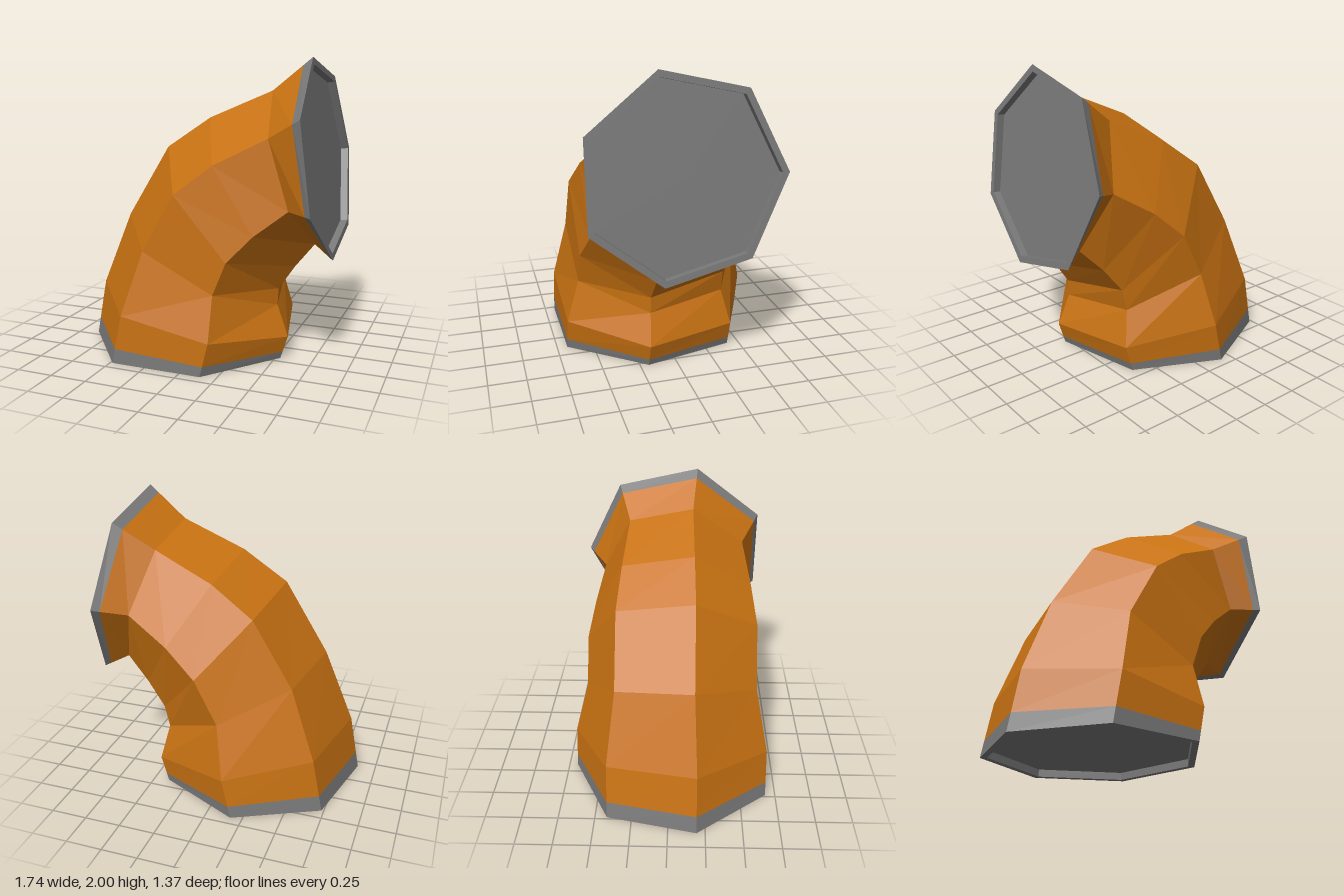
import * as THREE from 'three';

const SIDES = 7;
const Z0 = 0.031;

// Seven-sided ring: centre in the bend plane, radius and tilt in degrees.
function ring(cx, cy, r, tilt) {
  const t = THREE.MathUtils.degToRad(tilt);
  return Array.from({ length: SIDES }, (_, i) => {
    const a = (i / SIDES) * Math.PI * 2;
    const u = r * Math.sin(a);
    return new THREE.Vector3(cx + u * Math.cos(t), cy - u * Math.sin(t), Z0 - r * Math.cos(a));
  });
}

const mix = (a, b, t) => a.map((p, i) => p.clone().lerp(b[i], t));

// Faceted skin through successive rings, dropping collapsed triangles.
function loft(name, rings, color) {
  const pos = [];
  const tri = (a, b, c) => {
    if (new THREE.Triangle(a, b, c).getArea() < 1e-7) return;
    for (const p of [a, b, c]) pos.push(p.x, p.y, p.z);
  };
  for (let k = 0; k < rings.length - 1; k++) {
    for (let i = 0; i < SIDES; i++) {
      const j = (i + 1) % SIDES;
      const [lo, hi] = [rings[k], rings[k + 1]];
      tri(lo[j], lo[i], hi[i]);
      tri(lo[j], hi[i], hi[j]);
    }
  }
  const geo = new THREE.BufferGeometry();
  geo.setAttribute('position', new THREE.Float32BufferAttribute(pos, 3));
  geo.computeVertexNormals();
  const mesh = new THREE.Mesh(geo, new THREE.MeshStandardMaterial({ color, flatShading: true }));
  mesh.name = name;
  return mesh;
}

// Lip and recessed cap of an open end, from the lip inwards to the centre.
function recess(cx, cy, r, tilt, depth) {
  const t = THREE.MathUtils.degToRad(tilt);
  const x = cx + depth * Math.sin(t);
  const y = cy + depth * Math.cos(t);
  return [ring(cx, cy, r, tilt), ring(x, y, r, tilt), ring(x, y, 0, tilt)];
}

export function createModel() {
  const group = new THREE.Group();
  group.name = 'pipeElbow';
  const orange = 0xc87212;
  const grey = 0x7a7a7a;

  // Stations along the bend: centre x, centre y, radius, tilt
  const rings = [
    [-0.17, 0, 0.721, 0],
    [-0.108, 0.279, 0.719, 9.9],
    [-0.046, 0.64, 0.627, 26.4],
    [0.108, 0.942, 0.625, 49],
    [0.315, 1.125, 0.583, 58],
    [0.592, 1.295, 0.53, 73.1],
    [0.79, 1.355, 0.667, 82.9],
  ].map((s) => ring(...s));

  const baseSeam = mix(rings[0], rings[1], 0.3);
  const mouthSeam = mix(rings[5], rings[6], 0.76);

  group.add(
    loft('pipeBody', [baseSeam, ...rings.slice(1, 6), mouthSeam], orange),
    loft('baseCollar', [...recess(-0.17, 0, 0.675, 0, 0.05).reverse(), rings[0], baseSeam], grey),
    loft('mouthCollar', [mouthSeam, rings[6], ...recess(0.79, 1.355, 0.621, 82.9, -0.05)], grey),
  );
  return group;
}
